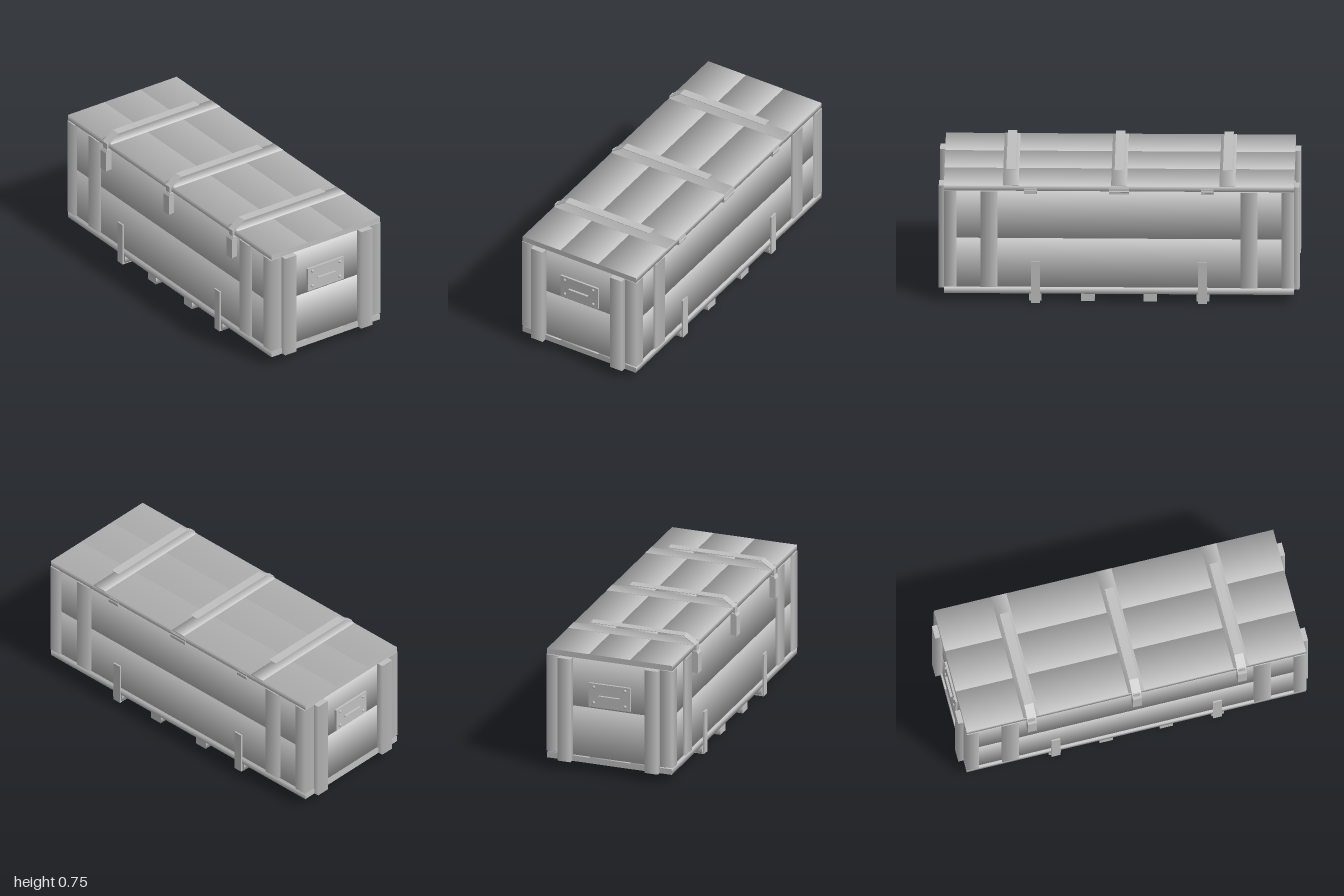
import * as THREE from 'three';

const wood = new THREE.MeshStandardMaterial({ color: 0xbfbfbf });
wood.name = 'grey';
const sheet = wood.clone();
sheet.side = THREE.DoubleSide;
sheet.name = 'greySheet';

// Box given by its limits; its lengthwise edges are shaded round, its ends stay flat
function plank(name, [x0, x1], [y0, y1], [z0, z1], axis) {
  const size = [x1 - x0, y1 - y0, z1 - z0];
  const g = new THREE.BoxGeometry(...size);
  if (axis !== undefined) {
    const p = g.attributes.position, n = g.attributes.normal;
    for (let i = 0; i < p.count; i++) {
      if (Math.abs(n.getComponent(i, axis)) > 0.5) continue;
      const v = [Math.sign(p.getX(i)), Math.sign(p.getY(i)), Math.sign(p.getZ(i))];
      v[axis] = 0;
      n.setXYZ(i, ...v.map(c => c * Math.SQRT1_2));
    }
  }
  const m = new THREE.Mesh(g, wood);
  m.name = name;
  m.position.set((x0 + x1) / 2, (y0 + y1) / 2, (z0 + z1) / 2);
  return m;
}

// Extrude a (z, y) outline to a width along x, centred on x
function sideProfile(name, points, width, x) {
  const shape = new THREE.Shape(points.map(([z, y]) => new THREE.Vector2(-z, y)));
  const g = new THREE.ExtrudeGeometry(shape, { depth: width, bevelEnabled: false });
  g.translate(0, 0, -width / 2).rotateY(Math.PI / 2);
  const m = new THREE.Mesh(g, sheet);
  m.name = name;
  m.position.x = x;
  return m;
}

const span = (c, w) => [c - w / 2, c + w / 2];
const ordered = (a, b) => [Math.min(a, b), Math.max(a, b)];

function handlePlate(side) {
  const group = new THREE.Group();
  group.name = side > 0 ? 'leftHandle' : 'rightHandle';
  group.add(plank('handlePlate', ordered(side * 0.955, side * 0.972), [0.395, 0.535], [-0.13, 0.115]));
  group.add(plank('handleBar', ordered(side * 0.97, side * 0.985), [0.463, 0.468], [-0.068, 0.055]));
  for (const z of [-0.1, 0.085]) for (const y of [0.421, 0.515]) {
    const rivet = new THREE.Mesh(new THREE.SphereGeometry(0.009, 10, 6), wood);
    rivet.name = 'rivet';
    rivet.position.set(side * 0.972, y, z);
    group.add(rivet);
  }
  return group;
}

export function createModel() {
  const model = new THREE.Group();
  model.name = 'crate';
  const add = (...m) => model.add(...m);
  const front = 0.367, back = -0.382;

  // Lid and floor, three boards each
  const boards = [[-0.378, -0.13], [-0.13, 0.115], [0.115, 0.362]];
  for (const z of boards) {
    add(plank('lidBoard', [-0.97, 0.97], [0.673, 0.705], z, 0));
    add(plank('floorBoard', [-0.97, 0.97], [0.055, 0.088], z, 0));
  }

  // Walls, two boards high
  for (const y of [[0.09, 0.383], [0.383, 0.67]]) {
    add(plank('frontBoard', [-0.95, 0.95], y, [0.325, 0.35], 0));
    add(plank('backBoard', [-0.95, 0.95], y, [-0.365, -0.34], 0));
    for (const s of [-1, 1])
      add(plank('endBoard', ordered(s * 0.935, s * 0.96), y, [-0.34, 0.325], 2));
  }

  for (const s of [-1, 1]) {
    // Corner posts and wall battens
    const corner = ordered(s * 0.9, s * 0.97);
    add(plank('frontCornerPost', corner, [0.095, 0.67], [0.292, front], 1));
    add(plank('backCornerPost', corner, [0.095, 0.67], [back, -0.307], 1));
    add(plank('frontBatten', span(s * 0.72, 0.095), [0.095, 0.67], [0.345, front], 1));
    add(plank('backBatten', span(s * 0.72, 0.095), [0.095, 0.67], [back, -0.36], 1));
    for (const z of [[0.212, 0.29], [-0.305, -0.228]])
      add(plank('endBatten', ordered(s * 0.955, s), [0.057, 0.67], z, 1));
    add(handlePlate(s));

    // Skids, the outer ones held by a metal band that turns up both walls
    add(plank('innerSkid', span(s * 0.172, 0.075), [0.01, 0.055], [-0.375, 0.36], 2));
    add(plank('outerSkid', span(s * 0.465, 0.07), [0.01, 0.055], [-0.375, 0.36], 2));
    add(sideProfile('skidBand', [
      [0.361, 0.25], [0.37, 0.25], [0.37, 0], [-0.384, 0],
      [-0.384, 0.25], [-0.375, 0.25], [-0.375, 0.008], [0.361, 0.008]
    ], 0.05, s * 0.462));
  }

  for (const x of [-0.6, 0, 0.6]) {
    // Flat strip on the lid with a raised strap above it
    add(plank('lidStrip', span(x, 0.088), [0.703, 0.707], [-0.378, 0.361], 2));
    add(sideProfile('lidStrap', [
      [-0.252, 0.747], [0.3, 0.747], [0.369, 0.698], [0.372, 0.7], [0.301, 0.749], [-0.252, 0.749]
    ], 0.052, x));
    // Latch
    add(sideProfile('latch', [
      [0.35, 0.665], [0.376, 0.665], [0.386, 0.65], [0.386, 0.533], [0.37, 0.537], [0.35, 0.537]
    ], 0.052, x));
    add(plank('latchHook', span(x, 0.034), [0.655, 0.703], [0.36, 0.374]));
  }

  // Hinges along the back edge
  for (const [x, w] of [[-0.49, 0.07], [0, 0.11], [0.49, 0.07]]) {
    add(plank('hingeLeaf', span(x, w), [0.655, 0.69], [-0.382, -0.36]));
    const pin = new THREE.Mesh(new THREE.CylinderGeometry(0.006, 0.006, w, 10), wood);
    pin.name = 'hingePin';
    pin.rotation.z = Math.PI / 2;
    pin.position.set(x, 0.672, -0.38);
    add(pin);
  }
  return model;
}
